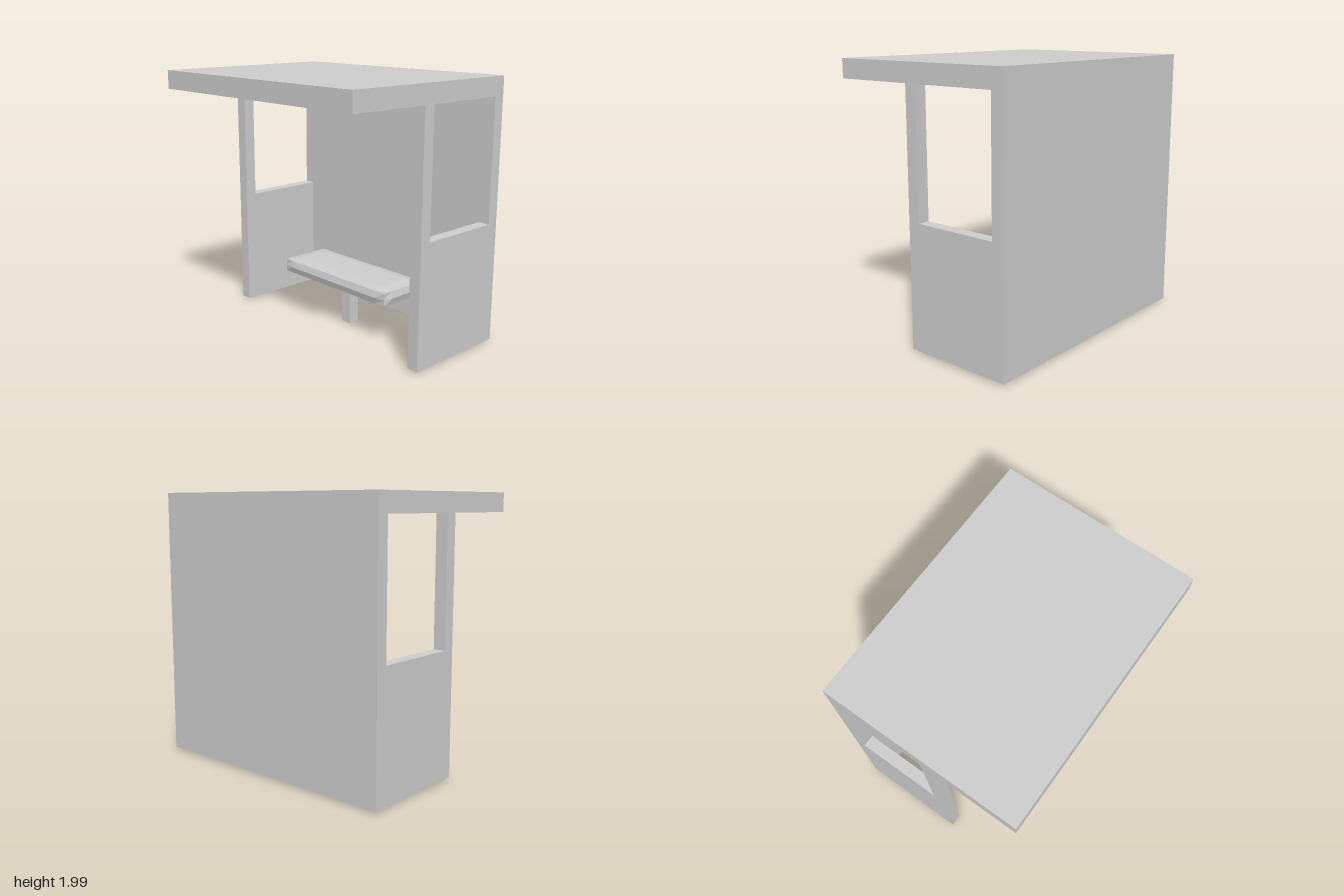
import * as THREE from 'three';

const concrete = new THREE.MeshStandardMaterial({ color: 0xcccccc, flatShading: true });
concrete.name = 'concreteGrey';

function addMesh(group, name, geometry, x, y, z) {
  const mesh = new THREE.Mesh(geometry, concrete);
  mesh.name = name;
  mesh.position.set(x, y, z);
  group.add(mesh);
  return mesh;
}

// Box given by its extents on each axis
function addBox(group, name, [x0, x1], [y0, y1], [z0, z1]) {
  const geometry = new THREE.BoxGeometry(x1 - x0, y1 - y0, z1 - z0);
  return addMesh(group, name, geometry, (x0 + x1) / 2, (y0 + y1) / 2, (z0 + z1) / 2);
}

// Side wall outline (z, y): low panel with a tall front post, open above
function sideWallGeometry(thickness) {
  const outline = [[-0.645, 0.015], [0.095, 0.015], [0.095, 1.85], [0.005, 1.85], [0.005, 0.93], [-0.645, 0.93]];
  const shape = new THREE.Shape(outline.map(([z, y]) => new THREE.Vector2(z, y)));
  const geometry = new THREE.ExtrudeGeometry(shape, { depth: thickness, bevelEnabled: false });
  return geometry.rotateY(-Math.PI / 2).translate(thickness / 2, 0, 0);
}

// Puffed slab: box edges stay straight, the inside of every face swells out
function seatGeometry() {
  const half = [0.555, 0.05, 0.205];
  const inset = [0.47, 0, 0.125];
  const swell = 0.015;
  const geometry = new THREE.BoxGeometry(half[0] * 2, half[1] * 2, half[2] * 2, 3, 2, 3);
  const position = geometry.attributes.position;
  for (let i = 0; i < position.count; i++) {
    const p = [position.getX(i), position.getY(i), position.getZ(i)];
    const outer = p.map((v, a) => Math.abs(v) > half[a] - 1e-4);
    const onFace = outer.filter(Boolean).length === 1;
    const q = p.map((v, a) => {
      if (outer[a]) return Math.sign(v) * (half[a] + (onFace ? swell : 0));
      return Math.sign(v) * inset[a];
    });
    position.setXYZ(i, ...q);
  }
  geometry.computeVertexNormals();
  return geometry;
}

export function createModel() {
  const shelter = new THREE.Group();
  shelter.name = 'shelter';

  // Roof slab overhanging the front
  addBox(shelter, 'roof', [-1, 1], [1.85, 1.99], [-0.735, 0.735]);

  // Walls
  addBox(shelter, 'backWall', [-1, 1], [0.015, 1.85], [-0.735, -0.645]);
  for (const side of [-1, 1]) {
    addMesh(shelter, side > 0 ? 'leftWall' : 'rightWall', sideWallGeometry(0.09), side * 0.955, 0, 0);
  }

  // Bench on a single post
  const bench = new THREE.Group();
  bench.name = 'bench';
  addMesh(bench, 'seat', seatGeometry(), 0, 0.38, -0.24);
  addBox(bench, 'benchPost', [-0.045, 0.045], [0, 0.33], [-0.275, -0.185]);
  shelter.add(bench);

  return shelter;
}
